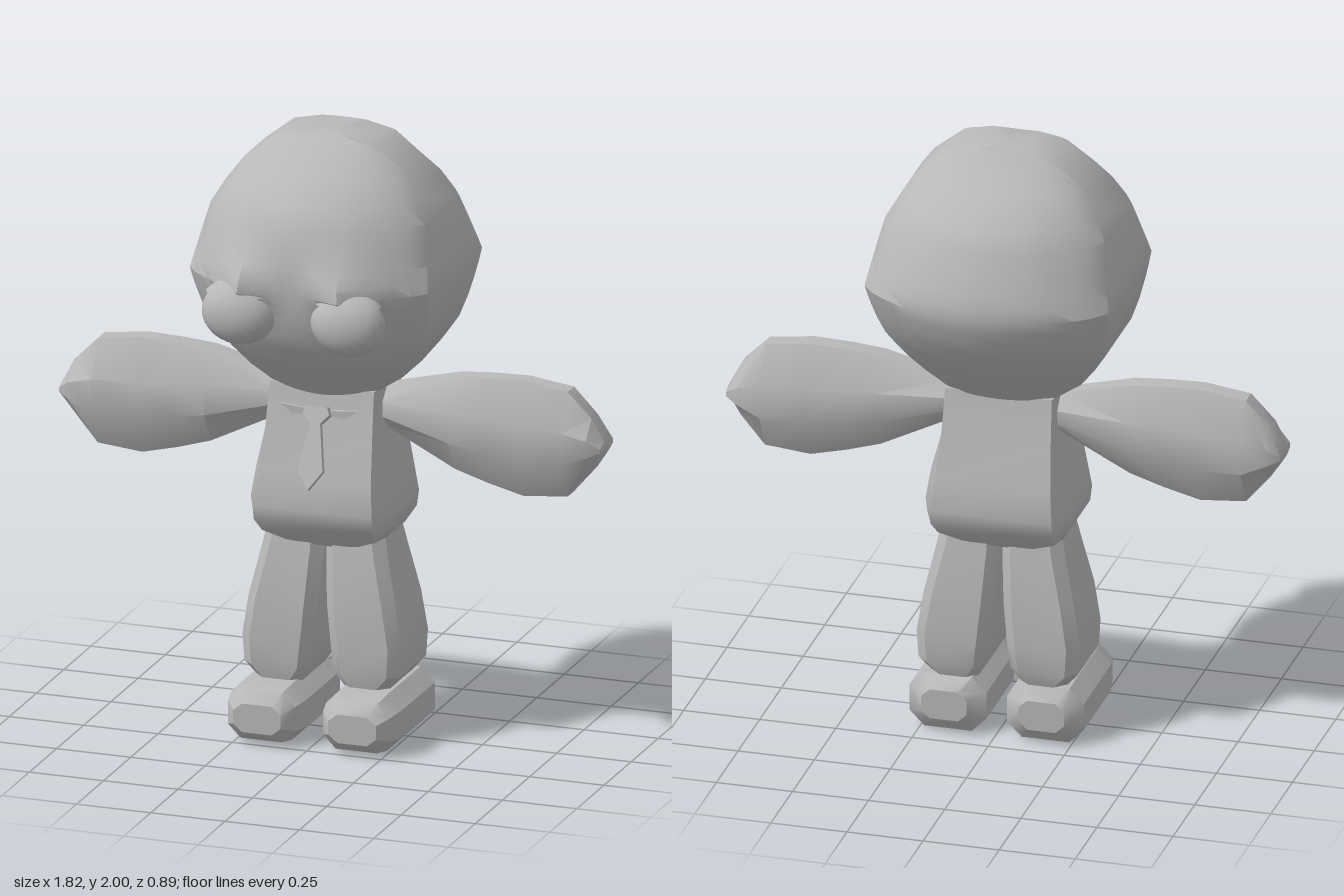
import * as THREE from 'three';
import { toCreasedNormals } from 'three/addons/utils/BufferGeometryUtils.js';

const grey = new THREE.MeshStandardMaterial({ color: 0xb8b8b8 });
grey.name = 'plain grey';

// Skin a list of equal-length rings, closing both ends with fans.
function loft(rings, crease = 0.6) {
  const tris = [];
  const n = rings[0].length;
  for (let i = 0; i < rings.length - 1; i++) {
    for (let j = 0; j < n; j++) {
      const k = (j + 1) % n;
      const [a, b, c, d] = [rings[i][j], rings[i][k], rings[i + 1][k], rings[i + 1][j]];
      tris.push([a, b, c], [a, c, d]);
    }
  }
  const cap = (ring, flip) => {
    const mid = [0, 1, 2].map((q) => ring.reduce((s, p) => s + p[q], 0) / n);
    for (let j = 0; j < n; j++) {
      const k = (j + 1) % n;
      tris.push(flip ? [mid, ring[j], ring[k]] : [mid, ring[k], ring[j]]);
    }
  };
  cap(rings[0], false);
  cap(rings[rings.length - 1], true);

  // Turn the faces outwards whichever way the rings run.
  const v = (p) => new THREE.Vector3(...p);
  const volume = tris.reduce((s, [a, b, c]) => s + v(a).dot(v(b).cross(v(c))), 0);
  if (volume < 0) tris.forEach((t) => t.reverse());
  const geo = new THREE.BufferGeometry();
  geo.setAttribute('position', new THREE.Float32BufferAttribute(tris.flat(2), 3));
  return toCreasedNormals(geo, crease);
}

// Rectangle with cut corners, as pairs.
function octagon(a0, a1, b0, b1, ca, cb) {
  return [[a0 + ca, b0], [a1 - ca, b0], [a1, b0 + cb], [a1, b1 - cb],
    [a1 - ca, b1], [a0 + ca, b1], [a0, b1 - cb], [a0, b0 + cb]];
}

// Head rows: height, half width, front depth, back depth
const headRows = [
  [1.12, 0.05, 0.08, -0.09], [1.13, 0.08, 0.1, -0.1], [1.16, 0.17, 0.13, -0.14],
  [1.22, 0.26, 0.2, -0.2], [1.29, 0.315, 0.28, -0.28], [1.36, 0.36, 0.34, -0.34],
  [1.42, 0.378, 0.37, -0.39], [1.48, 0.39, 0.385, -0.42], [1.52, 0.396, 0.39, -0.435],
  [1.56, 0.4, 0.39, -0.445], [1.6, 0.393, 0.39, -0.44], [1.64, 0.385, 0.388, -0.43],
  [1.7, 0.373, 0.375, -0.405], [1.76, 0.36, 0.36, -0.38], [1.83, 0.32, 0.32, -0.345],
  [1.9, 0.27, 0.23, -0.23], [1.98, 0.17, 0.12, -0.13], [2, 0.08, 0.08, -0.11],
];

// Head: a flat side band with a dome in front and behind, plus two brow swellings
function headGeometry() {
  const half = [[1, 0], [0.9, 0.29], [0.78, 0.5], [0.6, 0.74], [0.42, 0.88], [0.2, 0.97], [0.08, 0.99]];
  const arc = [...half, [0, 1], ...half.map(([x, d]) => [-x, d]).reverse()];
  const rings = headRows.map(([y, w, front, back]) => {
    const t = Math.max(0, 1 - Math.abs(y - 1.56) / 0.34);
    const bandFront = 0.08 + 0.15 * t;
    const bandBack = -0.1 - 0.17 * t;
    const brow = (x) => {
      const dy = (y - 1.57) / (y > 1.57 ? 0.09 : 0.05);
      const dx = (Math.abs(x) - 0.17) / 0.09;
      return 0.068 * Math.exp(-dx * dx - dy * dy);
    };
    const f = arc.map(([x, d]) =>
      [x * w, y, bandFront + Math.max(0, front - bandFront) * d + (Math.abs(x) < 1 ? brow(x * w) : 0)]);
    const b = arc.map(([x, d]) => [-x * w, y, bandBack + Math.min(0, back - bandBack) * d]);
    return [...f, ...b];
  });
  return loft(rings);
}

// Torso rows: height, front half width, side half width, front, back
function torsoGeometry() {
  const rows = [
    [1.17, 0.175, 0.18, 0.11, -0.13], [1.02, 0.18, 0.185, 0.14, -0.16],
    [0.88, 0.19, 0.225, 0.18, -0.2], [0.78, 0.2, 0.24, 0.2, -0.22],
    [0.73, 0.2, 0.235, 0.19, -0.21], [0.68, 0.19, 0.205, 0.14, -0.16],
    [0.65, 0.12, 0.13, 0.115, -0.135], [0.637, 0.05, 0.06, 0.1, -0.12],
  ];
  return loft(rows.map(([y, wf, ws, f, b]) =>
    octagon(-ws, ws, b, f, ws - wf, (f - b) * 0.22).map(([x, z]) => [x, y, z])));
}

// Arm rows: distance out, bottom, top, half thickness
function armGeometry(side) {
  const rows = [
    [0.17, 1.03, 1.16, 0.07], [0.41, 0.912, 1.217, 0.095], [0.52, 0.878, 1.226, 0.095],
    [0.64, 0.848, 1.23, 0.095], [0.79, 0.862, 1.21, 0.095], [0.87, 0.955, 1.13, 0.085],
    [0.91, 1.015, 1.055, 0.06],
  ];
  return loft(rows.map(([x, lo, hi, d]) =>
    octagon(-0.02 - d, -0.02 + d, lo, hi, d * 0.68, (hi - lo) * 0.34).map(([z, y]) => [side * x, y, z])));
}

// Leg rows: height, inner edge, outer edge, front, back
function legGeometry(side) {
  const rows = [
    [0.7, 0.003, 0.195, 0.1, -0.12], [0.62, 0.004, 0.21, 0.115, -0.135],
    [0.45, 0.015, 0.248, 0.14, -0.16], [0.32, 0.028, 0.268, 0.142, -0.168],
    [0.23, 0.038, 0.262, 0.142, -0.168], [0.18, 0.07, 0.22, 0.13, -0.15],
  ];
  return loft(rows.map(([y, a, b, f, k]) =>
    octagon(a, b, k, f, 0.035, 0.035).map(([x, z]) => [side * x, y, z])));
}

// Shoe rows: depth, half width, bottom, top
function shoeGeometry(side) {
  const rows = [
    [-0.2, 0.075, 0.05, 0.15], [-0.15, 0.126, 0, 0.185], [0.16, 0.126, 0, 0.187],
    [0.23, 0.112, 0.012, 0.175], [0.27, 0.08, 0.045, 0.14],
  ];
  return loft(rows.map(([z, w, lo, hi]) =>
    octagon(0.16 - w, 0.16 + w, lo, hi, w * 0.38, (hi - lo) * 0.26).map(([x, y]) => [side * x, y, z])));
}

// Flat outline with a little thickness
function plate(points, depth) {
  const shape = new THREE.Shape(points.map(([x, y]) => new THREE.Vector2(x, y)));
  return new THREE.ExtrudeGeometry(shape, { depth, bevelEnabled: false });
}

export function createModel() {
  const model = new THREE.Group();
  model.name = 'bigHeadedFigure';
  const add = (name, geometry, parent = model) => {
    const mesh = new THREE.Mesh(geometry, grey);
    mesh.name = name;
    parent.add(mesh);
    return mesh;
  };

  add('head', headGeometry());
  add('torso', torsoGeometry());

  for (const [side, label] of [[1, 'left'], [-1, 'right']]) {
    add(`${label}Arm`, armGeometry(side));
    add(`${label}Leg`, legGeometry(side));
    add(`${label}Shoe`, shoeGeometry(side));

    // Eye with an upper lid tucked under the brow
    const eye = add(`${label}Eye`, new THREE.SphereGeometry(1, 24, 16));
    eye.position.set(side * 0.183, 1.478, 0.37);
    eye.scale.set(0.123, 0.104, 0.077);
    const lid = add(`${label}Eyelid`, new THREE.SphereGeometry(1, 24, 6, 0, Math.PI * 2, 0, Math.PI * 0.3));
    lid.position.copy(eye.position);
    lid.scale.set(0.135, 0.113, 0.086);

    // Collar flap lying on the chest
    const flap = [[0.02, 1.1], [0.13, 1.11], [0.09, 1.08], [0.04, 1.085]].map(([x, y]) => [side * x, y]);
    add(`${label}Collar`, plate(flap, 0.012)).position.z = 0.128;
  }

  // Necktie hanging forward off the chest
  const tie = new THREE.Group();
  tie.name = 'necktie';
  tie.position.set(0, 1.1, 0.135);
  tie.rotation.x = -0.36;
  model.add(tie);
  add('tieKnot', plate([[-0.035, 0.01], [0.035, 0.01], [0.045, -0.015], [0.018, -0.045], [-0.018, -0.045], [-0.045, -0.015]], 0.028), tie);
  add('tieBlade', plate([[-0.015, -0.04], [0.015, -0.04], [0.043, -0.195], [0, -0.258], [-0.043, -0.195]], 0.02), tie);

  return model;
}
